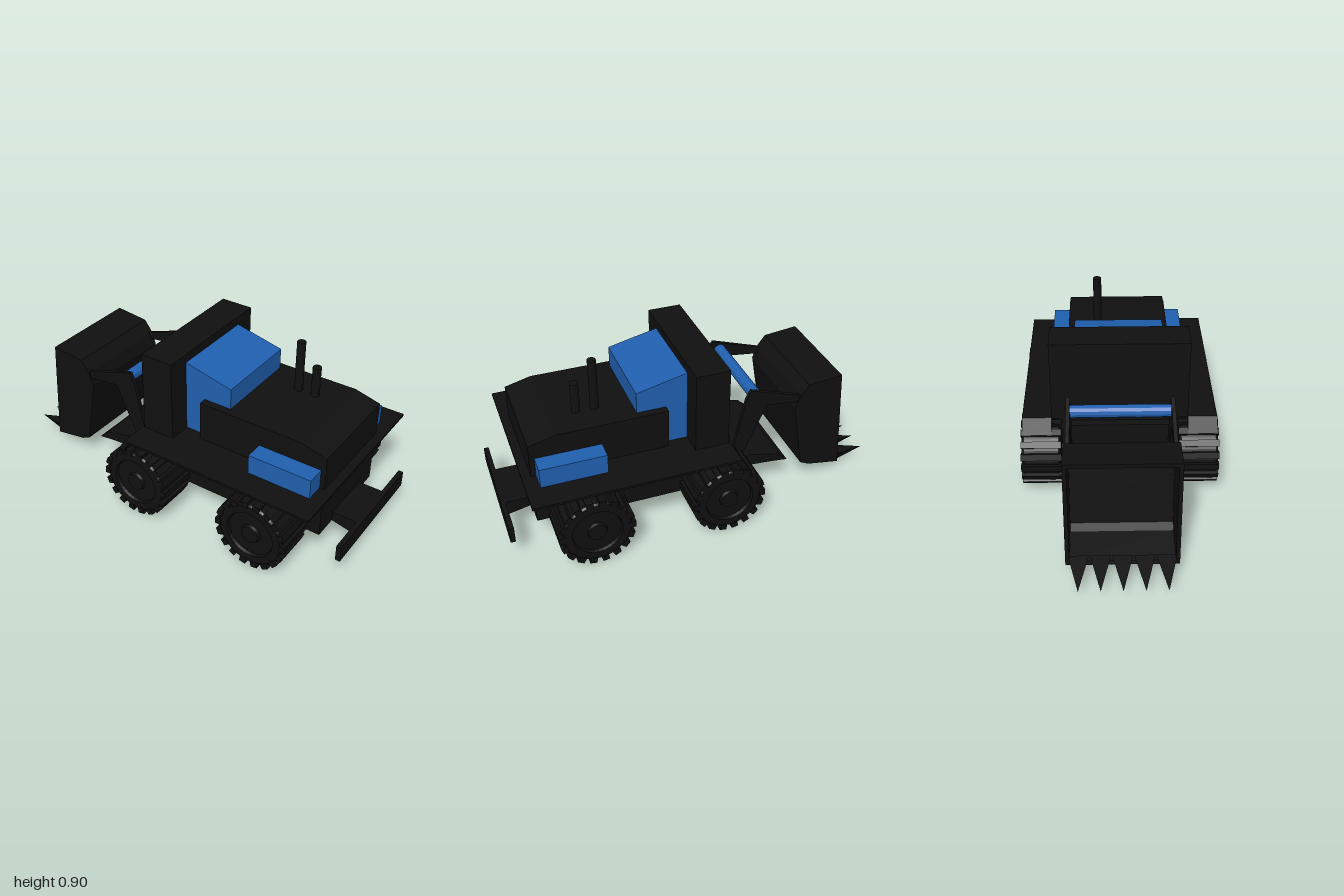
import * as THREE from 'three';
import { ConvexGeometry } from 'three/addons/geometries/ConvexGeometry.js';

const black = new THREE.MeshStandardMaterial({ color: 0x101010, flatShading: true, side: THREE.DoubleSide });
const blue = new THREE.MeshStandardMaterial({ color: 0x2060b0, flatShading: true });

export function createModel() {
  const model = new THREE.Group();
  model.name = 'tractor';

  const add = (name, geometry, material = black, parent = model) => {
    const mesh = new THREE.Mesh(geometry, material);
    mesh.name = name;
    parent.add(mesh);
    return mesh;
  };
  // Box given by its limits on each axis
  const box = (name, x0, x1, y0, y1, z0, z1, material) => {
    const mesh = add(name, new THREE.BoxGeometry(x1 - x0, y1 - y0, z1 - z0), material);
    mesh.position.set((x0 + x1) / 2, (y0 + y1) / 2, (z0 + z1) / 2);
  };
  // Side profile in x and y, extruded from z0 to z1
  const slab = (name, points, z0, z1, material) => {
    const shape = new THREE.Shape(points.map(([x, y]) => new THREE.Vector2(x, y)));
    const geometry = new THREE.ExtrudeGeometry(shape, { depth: z1 - z0, bevelEnabled: false });
    geometry.translate(0, 0, z0);
    add(name, geometry, material);
  };

  // Chassis, fender deck and front frame
  box('frontChassis', -0.125, 0.42, 0.145, 0.42, -0.3, 0.3);
  box('rearChassis', 0.42, 0.85, 0.145, 0.42, -0.27, 0.27);
  box('frontFrame', -0.17, -0.125, 0.18, 0.4, -0.27, 0.27);
  box('fenderDeck', -0.125, 0.9, 0.413, 0.425, -0.5, 0.5);

  // Cab, window housing and engine hood
  box('cab', -0.125, 0.05, 0.42, 0.85, -0.35, 0.35);
  slab('window', [[0.05, 0.42], [0.31, 0.42], [0.31, 0.745], [0.05, 0.805]], -0.23, 0.23, blue);
  slab('hood', [[0.16, 0.42], [0.855, 0.42], [0.855, 0.6], [0.72, 0.635], [0.16, 0.635]], -0.27, 0.27);

  // Exhaust pipes
  for (const [x, top] of [[0.487, 0.905], [0.58, 0.795]]) {
    const height = top - 0.6;
    add('exhaustPipe', new THREE.CylinderGeometry(0.022, 0.022, height, 16))
      .position.set(x, 0.6 + height / 2, -0.11);
  }

  // Rear hitch and bumper
  slab('hitch', [[0.84, 0.145], [0.98, 0.115], [0.98, 0.195], [0.84, 0.195]], -0.14, 0.14);
  box('rearBumper', 0.975, 1, 0.11, 0.195, -0.34, 0.34);

  // Parts repeated on both sides
  for (const side of [-1, 1]) {
    const span = (a, b) => (side > 0 ? [a, b] : [-b, -a]);
    box('sideTank', 0.5, 0.83, 0.425, 0.527, ...span(0.265, 0.365), blue);
    slab('fenderFlap', [[-0.135, 0.425], [-0.1, 0.425], [-0.155, 0.345], [-0.185, 0.345]], ...span(0.35, 0.5));
    slab('liftArm', [[-0.57, 0.55], [-0.28, 0.645], [-0.255, 0.6], [-0.185, 0.29],
      [-0.235, 0.24], [-0.37, 0.54], [-0.57, 0.515]], ...span(0.245, 0.265));
    for (const x of [-0.075, 0.605]) {
      const wheel = createWheel(add);
      wheel.position.set(x, 0.193, side * 0.405);
      if (side < 0) wheel.rotation.y = Math.PI;
      model.add(wheel);
    }
  }

  // Axles
  for (const x of [-0.075, 0.605]) {
    const axle = add('axle', new THREE.CylinderGeometry(0.04, 0.04, 0.7, 12));
    axle.rotation.x = Math.PI / 2;
    axle.position.set(x, 0.193, 0);
  }

  // Cross bar and lower push plate of the arm linkage
  const bar = add('crossBar', new THREE.CylinderGeometry(0.032, 0.032, 0.52, 12), blue);
  bar.rotation.x = Math.PI / 2;
  bar.position.set(-0.318, 0.59, 0);
  slab('pushPlate', [[-0.505, 0.16], [-0.45, 0.21], [-0.28, 0.25], [-0.165, 0.22],
    [-0.165, 0.19], [-0.4, 0.172]], -0.27, 0.27);

  // Bucket: open shell between two side plates
  const outer = [[-0.785, 0.63], [-0.6, 0.61], [-0.555, 0.55], [-0.53, 0.48],
    [-0.59, 0.115], [-0.64, 0.09], [-0.82, 0.06]];
  const inner = [[-0.815, 0.08], [-0.645, 0.11], [-0.605, 0.13], [-0.55, 0.48],
    [-0.573, 0.54], [-0.612, 0.593], [-0.786, 0.61]];
  slab('bucketShell', [...outer, ...inner], -0.25, 0.25);
  for (const z of [-0.27, 0.25]) slab('bucketSide', outer, z, z + 0.02);

  // Bucket teeth: three-sided spikes
  for (let i = 0; i < 5; i++) {
    const z = -0.208 + i * 0.104;
    add('bucketTooth', new ConvexGeometry([
      new THREE.Vector3(-1, 0.07, z), new THREE.Vector3(-0.8, 0.1, z - 0.05),
      new THREE.Vector3(-0.8, 0.1, z + 0.05), new THREE.Vector3(-0.82, 0.01, z),
    ]));
  }
  return model;
}

// Lugged tyre with a recessed hub facing +z
function createWheel(add) {
  const wheel = new THREE.Group();
  wheel.name = 'wheel';
  const profile = [[0, -0.1], [0.165, -0.1], [0.174, -0.09], [0.174, 0.09], [0.165, 0.1],
    [0.125, 0.1], [0.12, 0.085], [0.05, 0.085], [0.045, 0.1], [0, 0.1]];
  const tyre = new THREE.LatheGeometry(profile.map(([r, z]) => new THREE.Vector2(r, z)), 36);
  tyre.rotateX(Math.PI / 2);
  add('tyre', tyre, black, wheel);

  const count = 18;
  for (let i = 0; i < count; i++) {
    const angle = (i / count) * Math.PI * 2;
    const lug = add('treadLug', new THREE.BoxGeometry(0.03, 0.035, 0.208), black, wheel);
    lug.position.set(Math.cos(angle) * 0.175, Math.sin(angle) * 0.175, 0);
    lug.rotation.z = angle;
  }
  return wheel;
}
